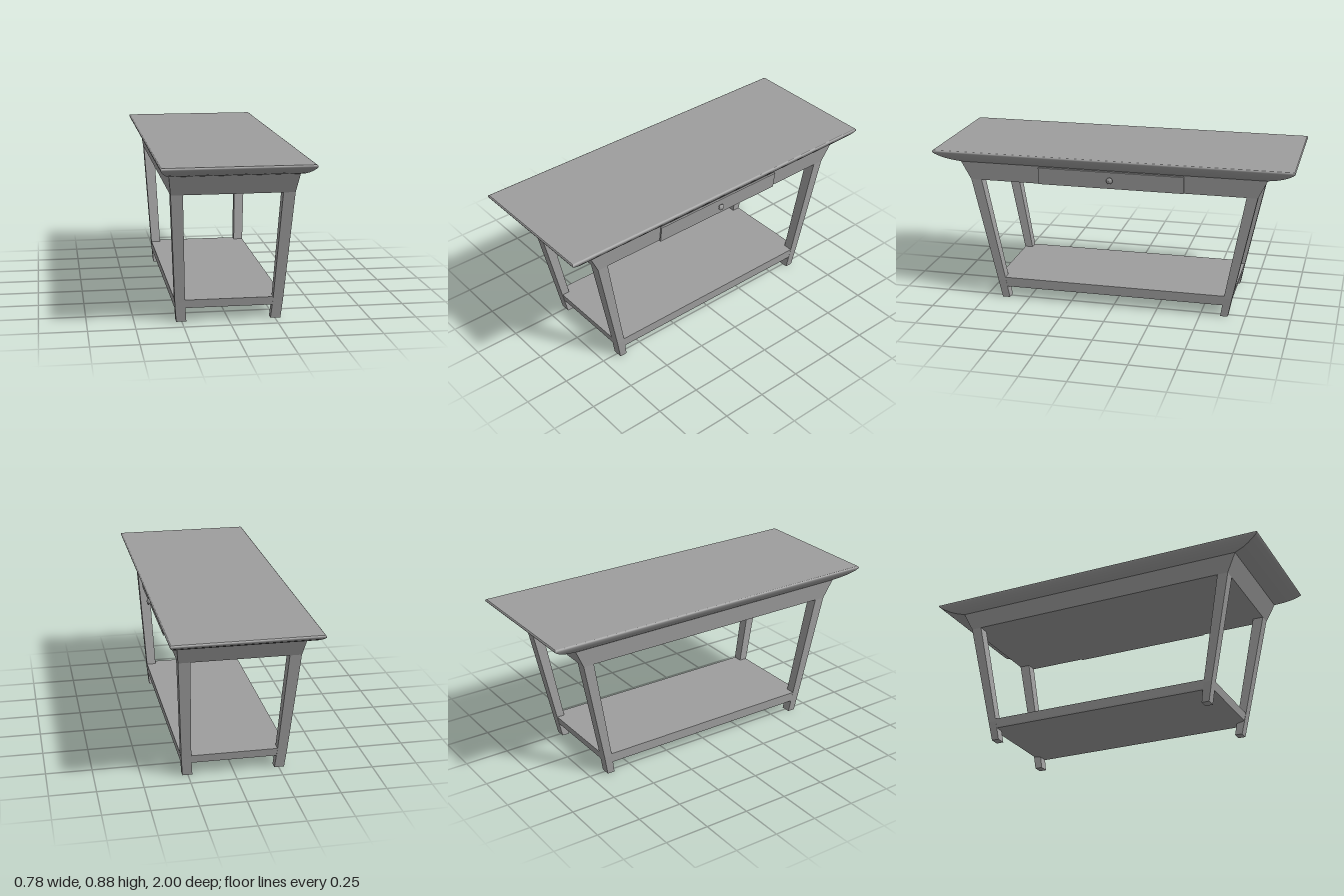
import * as THREE from 'three';

const grey = new THREE.MeshStandardMaterial({ color: 0x9e9e9e });

// Four-sided loft through rectangles [x0, x1, z0, z1, y], listed bottom to top.
// Each side has its own vertices, so corners stay sharp; smooth blends along y.
function loft(name, rings, smooth = false) {
  const pos = [], index = [];
  const corners = ([x0, x1, z0, z1, y]) => [[x0, y, z1], [x1, y, z1], [x1, y, z0], [x0, y, z0]];
  for (let s = 0; s < 4; s++) {
    const base = pos.length / 3;
    for (const r of rings) {
      const c = corners(r);
      pos.push(...c[s], ...c[(s + 1) % 4]);
    }
    for (let i = 0; i < rings.length - 1; i++) {
      const a = base + i * 2;
      index.push(a, a + 1, a + 3, a, a + 3, a + 2);
    }
  }
  // End caps
  const cap = (ring, up) => {
    const b = pos.length / 3;
    corners(ring).forEach((c) => pos.push(...c));
    index.push(...(up ? [b, b + 1, b + 2, b, b + 2, b + 3] : [b, b + 2, b + 1, b, b + 3, b + 2]));
  };
  cap(rings[0], false);
  cap(rings[rings.length - 1], true);
  let geo = new THREE.BufferGeometry();
  geo.setAttribute('position', new THREE.Float32BufferAttribute(pos, 3));
  geo.setIndex(index);
  if (!smooth) geo = geo.toNonIndexed();
  geo.computeVertexNormals();
  const mesh = new THREE.Mesh(geo, grey);
  mesh.name = name;
  return mesh;
}

// Centred rectangle from half sizes
const rect = (hx, hz, y) => [-hx, hx, -hz, hz, y];

export function createModel() {
  const group = new THREE.Group();

  // Table top with a flaring underside, a thin lip and a flat top
  group.add(loft('tableTop', [
    [0.335, 0.853, 0.815], [0.35, 0.903, 0.826], [0.364, 0.938, 0.838],
    [0.376, 0.966, 0.851], [0.385, 0.987, 0.863], [0.39, 0.999, 0.873],
    [0.391, 1, 0.878], [0.389, 0.998, 0.882], [0.384, 0.995, 0.885],
  ].map((r) => rect(...r)), true));

  // Apron, widening upward
  group.add(loft('apron', [rect(0.321, 0.802, 0.711), rect(0.335, 0.853, 0.815)]));

  // Splayed legs: [inner x, outer x, inner z, outer z, y]
  const leg = [
    [0.226, 0.28, 0.612, 0.654, 0],
    [0.235, 0.289, 0.63, 0.676, 0.11],
    [0.258, 0.321, 0.742, 0.802, 0.711],
  ];
  const span = (a, b, s) => (s > 0 ? [a, b] : [-b, -a]);
  for (const sx of [1, -1]) {
    for (const sz of [1, -1]) {
      const name = (sz > 0 ? 'front' : 'back') + (sx > 0 ? 'Left' : 'Right') + 'Leg';
      group.add(loft(name, leg.map(([xi, xo, zi, zo, y]) => [...span(xi, xo, sx), ...span(zi, zo, sz), y])));
    }
  }

  // Lower shelf, its underside bevelled at the ends
  group.add(loft('shelf', [
    rect(0.285, 0.625, 0.068), rect(0.286, 0.668, 0.078), rect(0.289, 0.677, 0.124),
  ]));

  // Drawer on the left side, tilted with the apron
  const drawer = new THREE.Group();
  drawer.name = 'drawer';
  drawer.position.set(0.333, 0.762, 0);
  drawer.rotation.z = -0.12;
  const back = new THREE.Mesh(new THREE.BoxGeometry(0.012, 0.088, 0.796), grey);
  back.name = 'drawerBacking';
  back.position.x = -0.003;
  const front = new THREE.Mesh(new THREE.BoxGeometry(0.009, 0.096, 0.81), grey);
  front.name = 'drawerFront';
  front.position.x = 0.004;
  drawer.add(back, front);
  group.add(drawer);

  // Turned knob: stem and domed head
  const profile = [
    [0, 0], [0.009, 0], [0.006, 0.004], [0.005, 0.011], [0.012, 0.014],
    [0.018, 0.019], [0.017, 0.024], [0.011, 0.028], [0, 0.03],
  ].map(([r, h]) => new THREE.Vector2(r, h));
  const knob = new THREE.Mesh(new THREE.LatheGeometry(profile, 24), grey);
  knob.name = 'drawerKnob';
  knob.position.set(0.337, 0.765, 0);
  knob.rotation.z = -Math.PI / 2;
  group.add(knob);

  return group;
}
